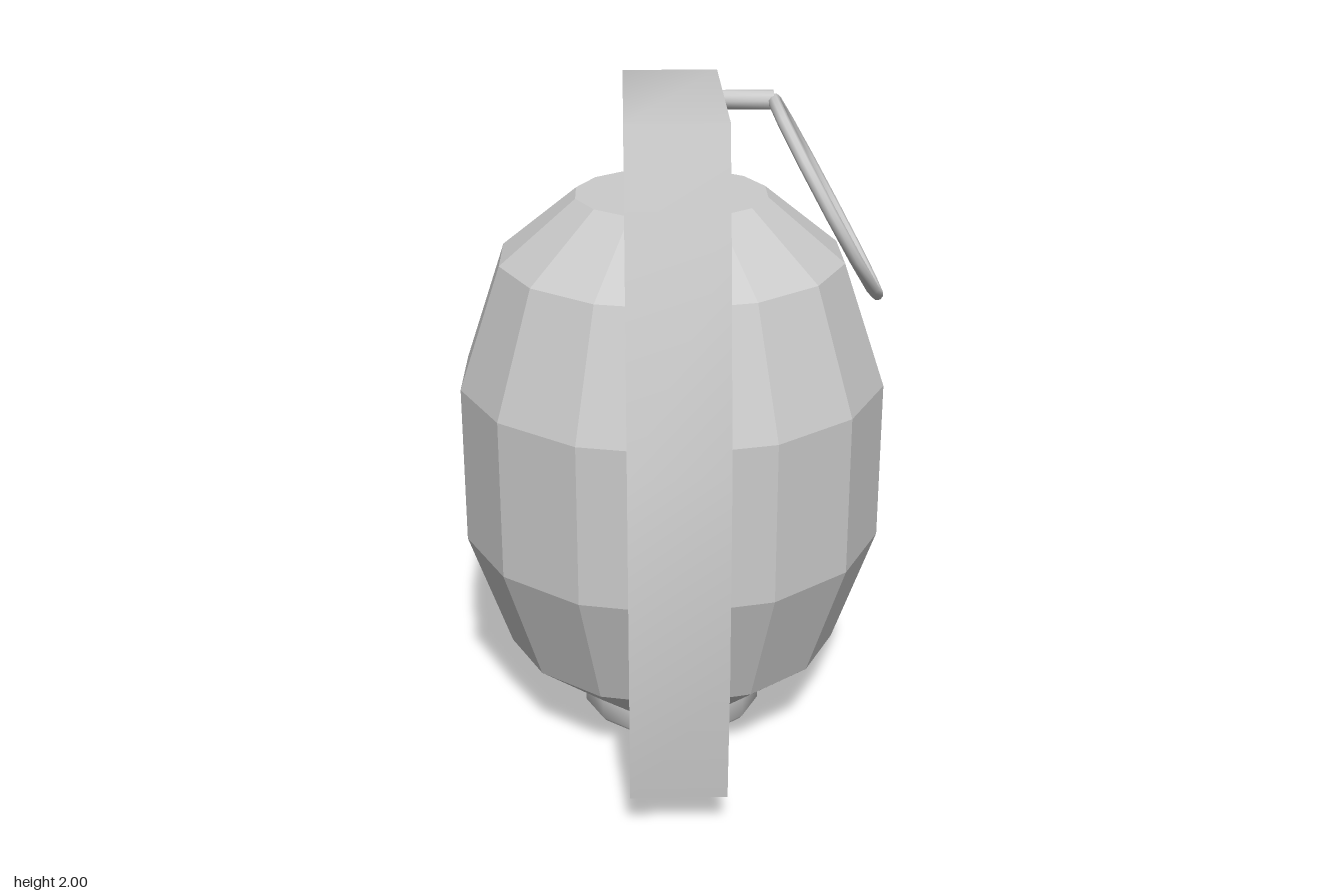
import * as THREE from 'three';
import { toCreasedNormals } from 'three/addons/utils/BufferGeometryUtils.js';

const SIDES = 14;
const CENTRE_Z = -0.09;

function material(flatShading = false) {
  return new THREE.MeshStandardMaterial({ color: 0xcccccc, flatShading });
}

function lathe(profile) {
  return new THREE.LatheGeometry(profile.map(([r, y]) => new THREE.Vector2(r, y)), SIDES);
}

// Sweeps a rectangular bar through sections: [outer z, outer y, inner z, inner y, half width]
function barGeometry(sections) {
  const positions = [];
  const rings = sections.map(([oz, oy, iz, iy, w]) => [
    [w, oy, oz], [-w, oy, oz], [-w, iy, iz], [w, iy, iz],
  ]);
  const quad = (a, b, c, d) => positions.push(...a, ...b, ...c, ...a, ...c, ...d);
  for (let i = 0; i < rings.length - 1; i++) {
    const r = rings[i], n = rings[i + 1];
    for (let k = 0; k < 4; k++) {
      const m = (k + 1) % 4;
      quad(r[k], r[m], n[m], n[k]);
    }
  }
  const [a, b, c, d] = rings[0];
  quad(a, d, c, b);
  quad(...rings[rings.length - 1]);
  const geometry = new THREE.BufferGeometry();
  geometry.setAttribute('position', new THREE.Float32BufferAttribute(positions, 3));
  return toCreasedNormals(geometry, 0.5);
}

export function createModel() {
  const group = new THREE.Group();
  const add = (name, geometry, flat) => {
    const mesh = new THREE.Mesh(geometry, material(flat));
    mesh.name = name;
    group.add(mesh);
    return mesh;
  };

  // Faceted barrel-shaped body
  const body = add('body', lathe([
    [0, 0.08], [0.285, 0.08], [0.513, 0.265], [0.64, 0.635],
    [0.64, 1.12], [0.513, 1.49], [0.285, 1.675], [0, 1.675],
  ]), true);
  body.position.z = CENTRE_Z;

  // Foot plug with a small chamfer
  const base = add('basePlug', toCreasedNormals(lathe([
    [0, 0], [0.27, 0], [0.282, 0.015], [0.282, 0.08], [0, 0.08],
  ]), 0.9));
  base.position.z = CENTRE_Z;

  // Top block with tapered back end, continuing into the bent lever
  const w = 0.138;
  add('lever', barGeometry([
    [-0.293, 1.975, -0.293, 1.7, 0.11],
    [-0.245, 2, -0.245, 1.68, w],
    [0.446, 2, 0.47, 1.68, w],
    [0.55, 1.69, 0.48, 1.68, w],
    [0.706, 1.12, 0.632, 1.11, w],
    [0.73, 0.52, 0.658, 0.54, w],
    [0.685, 0.12, 0.605, 0.125, w],
  ]));

  // Short pin leaving the block on its left side
  const pin = add('pin', toCreasedNormals(new THREE.CylinderGeometry(0.028, 0.028, 0.18, 10), 0.9));
  pin.rotation.z = Math.PI / 2;
  pin.position.set(0.2, 1.947, -0.078);

  // Pull ring hanging outward from the pin
  const ring = add('pullRing', new THREE.TorusGeometry(0.324, 0.018, 8, 13));
  const up = new THREE.Vector3(-0.486, 0.874, 0).normalize();
  const across = new THREE.Vector3(0, 0, 1);
  const normal = up.clone().cross(across);
  ring.quaternion.setFromRotationMatrix(new THREE.Matrix4().makeBasis(up, across, normal));
  ring.position.set(0.447, 1.665, -0.07);

  return group;
}
